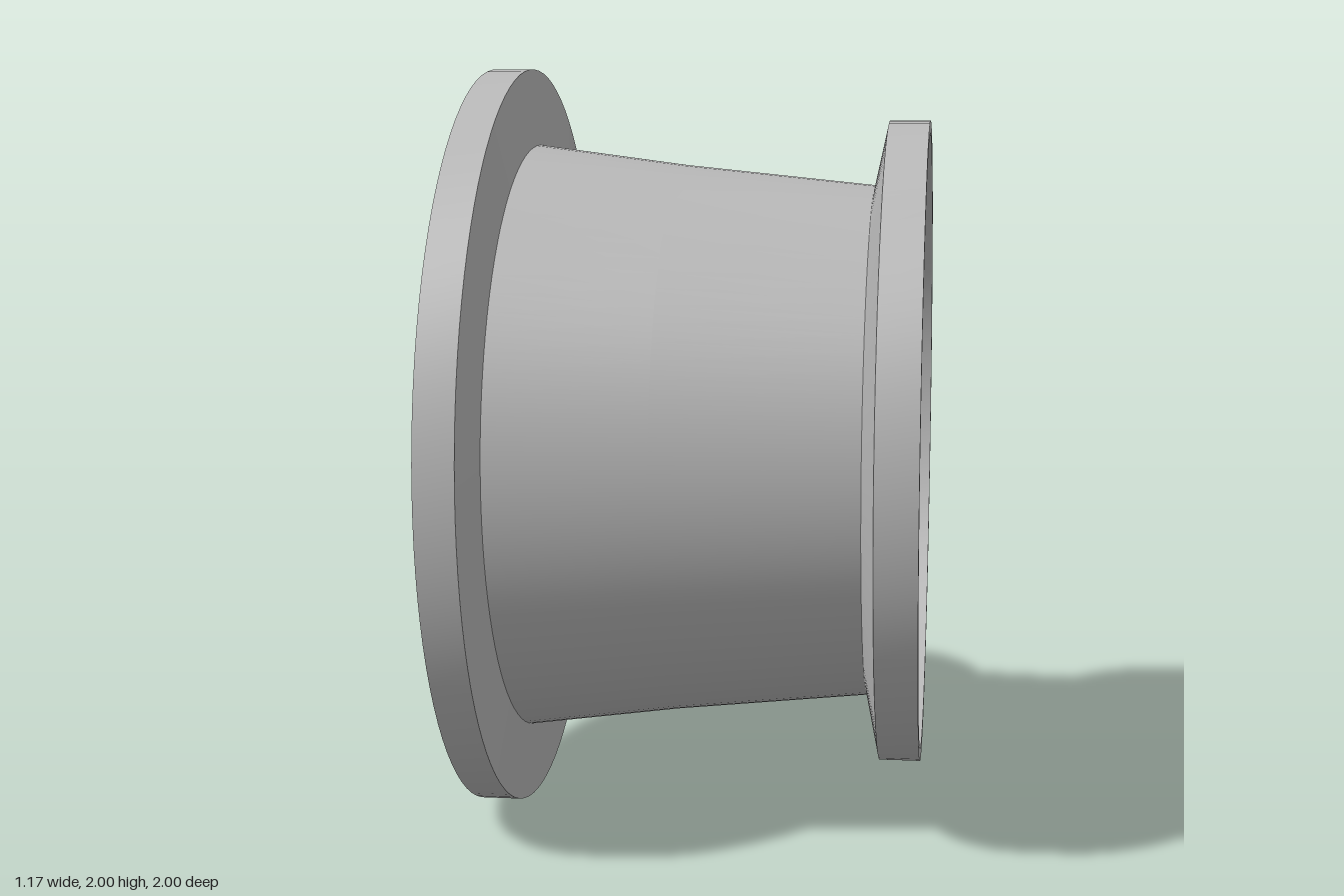
import * as THREE from 'three';
import { toCreasedNormals } from 'three/addons/utils/BufferGeometryUtils.js';

const metal = new THREE.MeshStandardMaterial({ color: 0xb8b8b8 });
metal.name = 'grey metal';

// Revolves a profile of [x, radius] points around the x axis
function revolve(name, profile) {
  const points = profile.map(([x, r]) => new THREE.Vector2(r, x));
  const geometry = new THREE.LatheGeometry(points, 96);
  geometry.rotateZ(-Math.PI / 2);
  const mesh = new THREE.Mesh(toCreasedNormals(geometry, 0.3), metal);
  mesh.name = name;
  return mesh;
}

export function createModel() {
  const group = new THREE.Group();
  group.name = 'flangedReducer';

  // Tapered wall, outside and bore
  group.add(revolve('outerWall', [[-0.47, 0.797], [-0.07, 0.744], [0.443, 0.691]]));
  group.add(revolve('boreWall', [[0.47, 0.657], [-0.07, 0.712], [-0.5, 0.767]]));

  // Large flange: recessed face, thin lip, rim and back face
  group.add(revolve('largeFlange', [
    [-0.5, 0.767], [-0.515, 0.97], [-0.587, 0.97], [-0.587, 1], [-0.485, 1], [-0.47, 0.797],
  ]));

  // Small flange: conical back face, rim, thin lip and recessed face
  group.add(revolve('smallFlange', [
    [0.443, 0.691], [0.48, 0.863], [0.587, 0.863], [0.587, 0.83], [0.506, 0.83], [0.47, 0.657],
  ]));

  group.position.y = 1;
  const model = new THREE.Group();
  model.add(group);
  return model;
}
